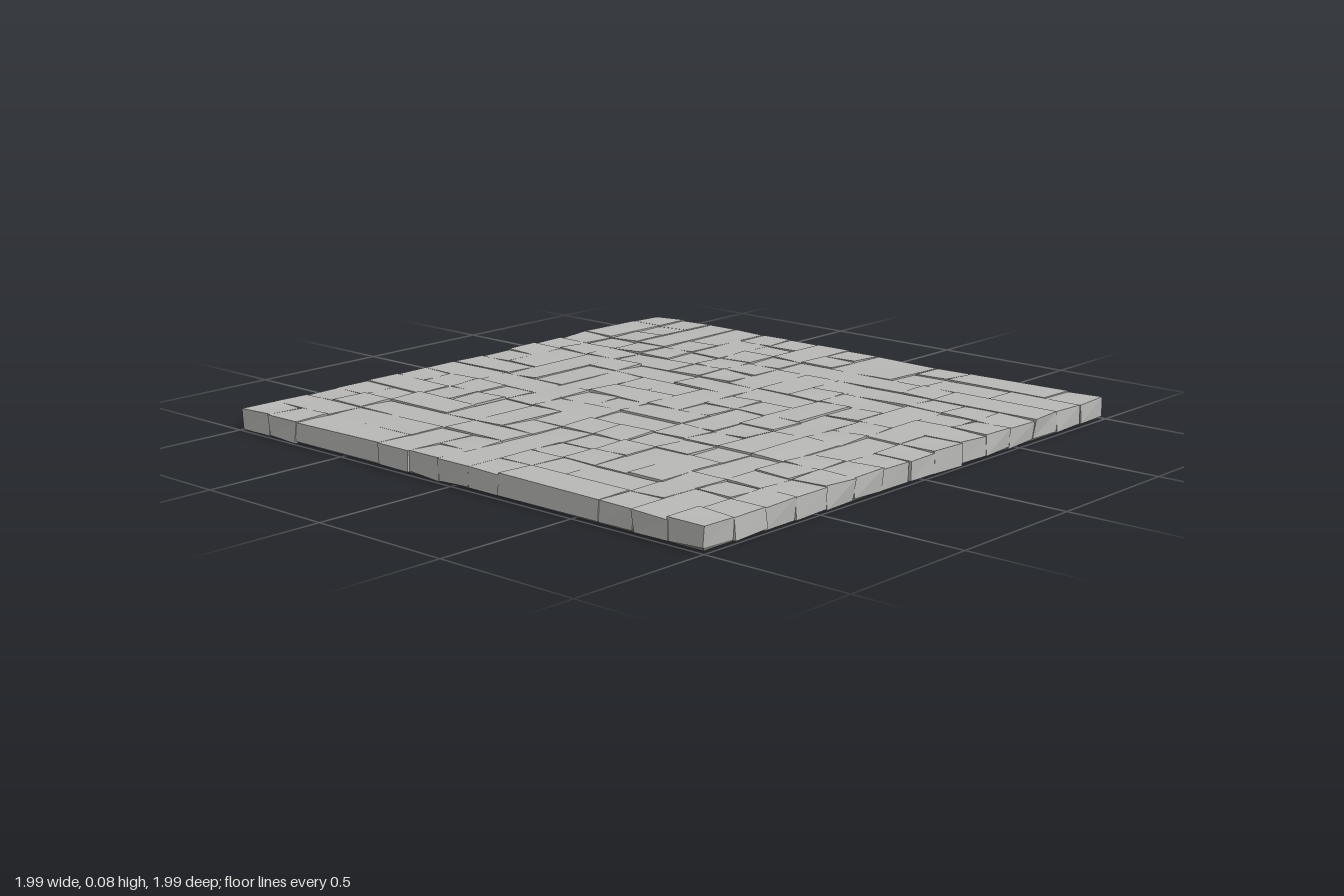
import * as THREE from 'three';

const N = 15;               // paving cells per side
const CELL = 1.98 / N;

// Main long slabs: column, row, width, depth
const LARGE = [
  [2, 0, 1, 3], [8, 0, 2, 2], [11, 0, 3, 1], [0, 1, 1, 2],
  [7, 2, 4, 1], [12, 2, 3, 1], [2, 5, 1, 3], [11, 6, 1, 2],
  [7, 6, 1, 2], [2, 8, 2, 1], [5, 9, 2, 1], [2, 11, 2, 1],
  [2, 12, 3, 1], [5, 12, 2, 1], [7, 12, 1, 3], [2, 13, 3, 1],
  [2, 14, 3, 1], [9, 14, 3, 1], [13, 13, 1, 2],
];

// Seeded random numbers, returned in the range -a to a
function makeJitter(seed) {
  return (a) => {
    seed = (seed * 1664525 + 1013904223) % 4294967296;
    return (seed / 2147483648 - 1) * a;
  };
}

// Roughly cut stone block with shifted corners
function slabGeometry(w, d, jitter) {
  const geometry = new THREE.BoxGeometry(w, 0.066, d);
  const p = geometry.attributes.position;
  const corners = new Map();
  for (let i = 0; i < p.count; i++) {
    const x = p.getX(i), y = p.getY(i), z = p.getZ(i);
    const key = [x > 0, y > 0, z > 0].join();
    if (!corners.has(key)) {
      corners.set(key, [x + jitter(0.005), y + jitter(0.004), z + jitter(0.005)]);
    }
    p.setXYZ(i, ...corners.get(key));
  }
  const flat = geometry.toNonIndexed();
  flat.computeVertexNormals();
  return flat;
}

export function createModel() {
  const floor = new THREE.Group();
  floor.name = 'stoneFloor';
  const stone = new THREE.MeshStandardMaterial({ color: 0xb7b7b5 });
  stone.name = 'light grey stone';
  const mortar = new THREE.MeshStandardMaterial({ color: 0x6b6d69 });
  mortar.name = 'dark grey mortar';
  const jitter = makeJitter(71);
  const used = new Set();

  // Mortar bed that fills the joints and closes the underside
  const bed = new THREE.Mesh(new THREE.BoxGeometry(1.965, 0.054, 1.965), mortar);
  bed.name = 'mortarBed';
  bed.position.y = 0.041;
  floor.add(bed);

  // Place a slab if all its cells are free; tells whether it was placed
  function addSlab(col, row, w, d) {
    if (col + w > N || row + d > N) return false;
    const cells = [];
    for (let c = col; c < col + w; c++)
      for (let r = row; r < row + d; r++) cells.push(r * N + c);
    if (cells.some((cell) => used.has(cell))) return false;
    cells.forEach((cell) => used.add(cell));
    const slab = new THREE.Mesh(slabGeometry(w * CELL, d * CELL, jitter), stone);
    slab.name = w * d > 1 ? 'longSlab' : 'squareSlab';
    slab.position.set(
      -0.99 + (col + w / 2) * CELL + jitter(0.002),
      0.051 + jitter(0.002),
      -0.99 + (row + d / 2) * CELL + jitter(0.002),
    );
    floor.add(slab);
    return true;
  }

  LARGE.forEach((slab) => addSlab(...slab));
  // Remaining cells: mostly single stones, with some pairs in either direction
  for (let row = 0; row < N; row++)
    for (let col = 0; col < N; col++) {
      const pick = jitter(1);
      const pair = pick > 0.7 ? [2, 1] : pick < -0.7 ? [1, 2] : [1, 1];
      if (!addSlab(col, row, ...pair)) addSlab(col, row, 1, 1);
    }
  return floor;
}
